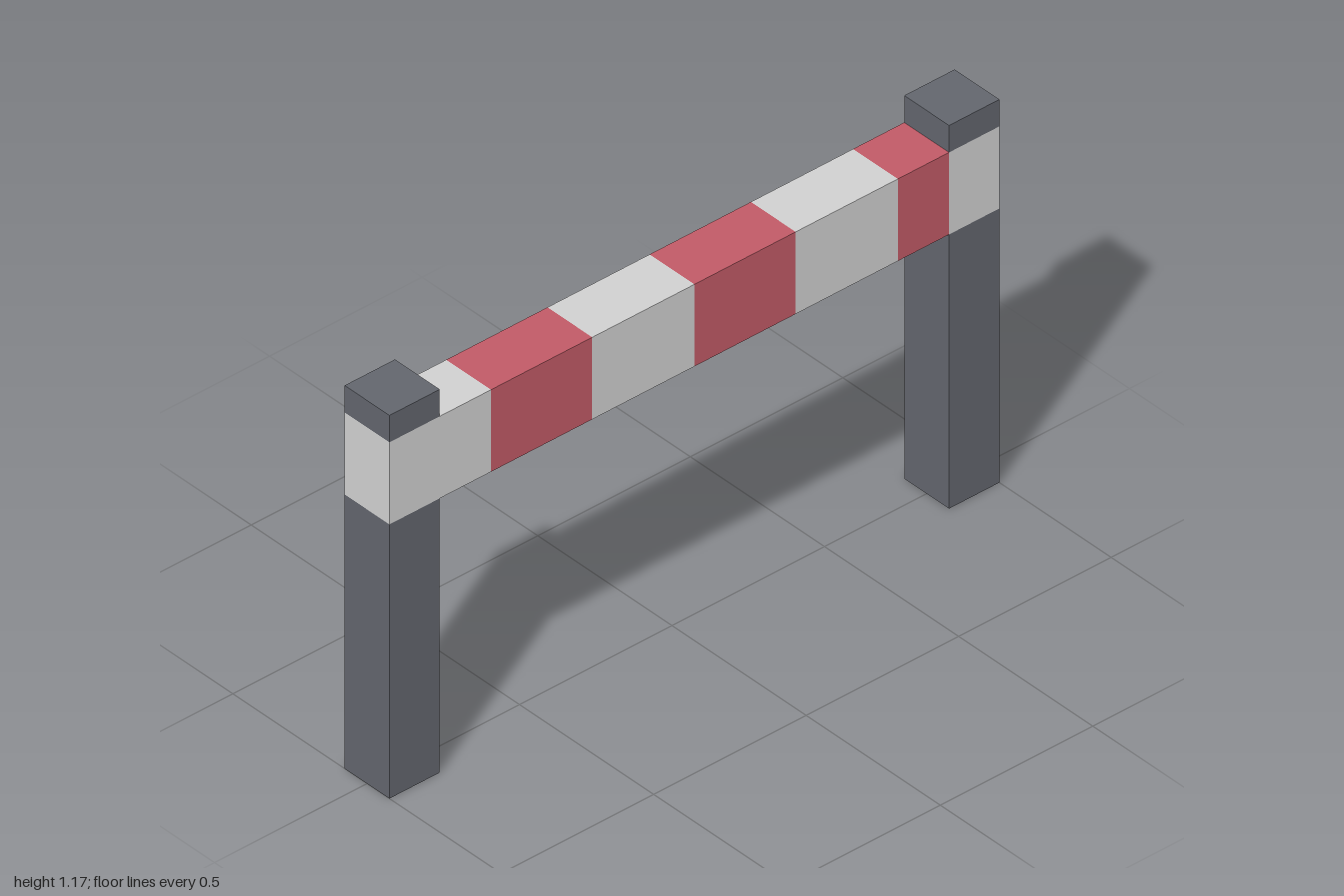
import * as THREE from 'three';

const HEIGHT = 1.167, DEPTH = 0.167, POST = 0.165;
const BAND_LOW = 0.835, BAND_HIGH = 1.085;

export function createModel() {
  const model = new THREE.Group();
  model.name = 'barrier';

  const material = (name, color) => {
    const m = new THREE.MeshStandardMaterial({ color });
    m.name = name;
    return m;
  };
  const grey = material('dark grey', 0x62656d);
  const white = material('off white', 0xd0d0d0);
  const red = material('red', 0xc15a66);

  // Box given by its x and y limits, centred on z = 0
  const block = (name, mat, x0, x1, y0, y1) => {
    const mesh = new THREE.Mesh(new THREE.BoxGeometry(x1 - x0, y1 - y0, DEPTH), mat);
    mesh.position.set((x0 + x1) / 2, (y0 + y1) / 2, 0);
    mesh.name = name;
    model.add(mesh);
  };

  // Two posts, each with a painted band level with the rail
  for (const [side, x0] of [['right', -1], ['left', 1 - POST]]) {
    const x1 = x0 + POST;
    block(`${side}PostLower`, grey, x0, x1, 0, BAND_LOW);
    block(`${side}PostBand`, white, x0, x1, BAND_LOW, BAND_HIGH);
    block(`${side}PostCap`, grey, x0, x1, BAND_HIGH, HEIGHT);
  }

  // Striped rail between the posts
  const stops = [-1 + POST, -0.667, -0.335, 0, 0.332, 0.667, 1 - POST];
  for (let i = 0; i < stops.length - 1; i++) {
    block(`railStripe${i + 1}`, i % 2 ? red : white, stops[i], stops[i + 1], BAND_LOW, BAND_HIGH);
  }

  return model;
}
